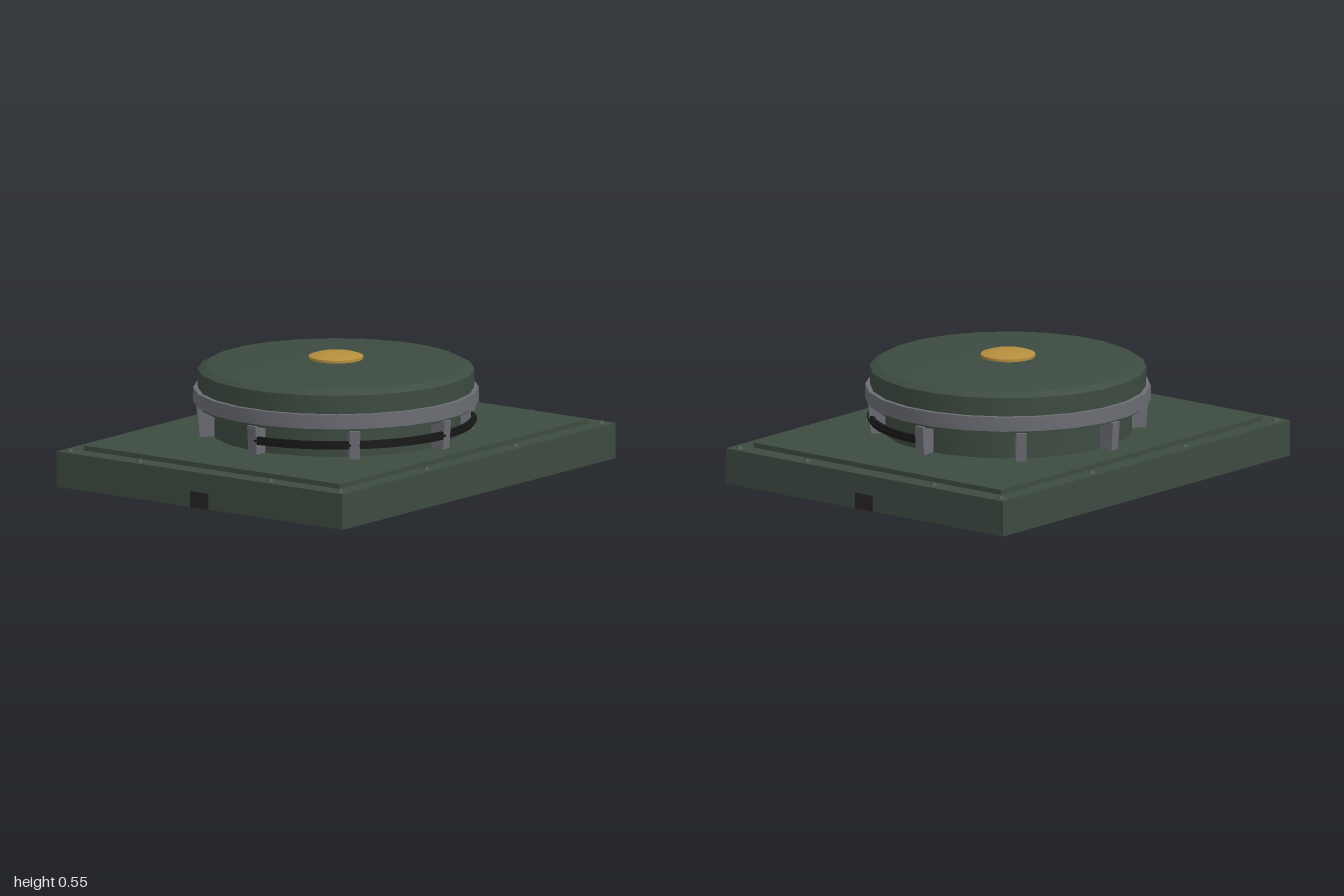
import * as THREE from 'three';
import { toCreasedNormals } from 'three/addons/utils/BufferGeometryUtils.js';

const SIDES = 24;

export function createModel() {
  const model = new THREE.Group();
  model.name = 'roundMachineOnPlinth';

  const material = (name, color, side = THREE.FrontSide) => {
    const m = new THREE.MeshStandardMaterial({ color, side });
    m.name = name;
    return m;
  };
  const green = material('dark green paint', 0x3d4b41, THREE.DoubleSide);
  const grey = material('steel grey', 0x6b6d74);
  const gold = material('brass', 0xb58e3e);
  const black = material('black rail', 0x171717, THREE.DoubleSide);
  const dark = material('dark slot', 0x262424);

  const add = (name, geometry, mat, x = 0, y = 0, z = 0, parent = model) => {
    const mesh = new THREE.Mesh(geometry, mat);
    mesh.name = name;
    mesh.position.set(x, y, z);
    parent.add(mesh);
    return mesh;
  };
  // Turned part from [radius, height] pairs, with flats facing the four sides
  const turned = (profile, start = Math.PI / SIDES, length = Math.PI * 2, segments = SIDES) =>
    toCreasedNormals(new THREE.LatheGeometry(
      profile.map(([r, y]) => new THREE.Vector2(r, y)), segments, start, length), 0.4);

  // Hollow plinth, open underneath (bottom face group dropped)
  const shell = new THREE.BoxGeometry(2, 0.16, 1.588);
  const kept = [...shell.index.array].filter((_, i) => i < 18 || i >= 24);
  shell.setIndex(kept);
  shell.clearGroups();
  add('plinth', shell, green, 0, 0.08, 0);

  // Raised deck on the plinth: top and four walls
  const deck = new THREE.BoxGeometry(1.82, 0.022, 1.42);
  add('deck', deck, green, 0, 0.171, 0);

  // Slots at the foot of both side walls
  for (const side of [-1, 1]) {
    add('sideSlot', new THREE.BoxGeometry(0.006, 0.072, 0.1), dark, side * 1.0, 0.036, 0);
  }

  // Rivets around the rim
  const rivets = new THREE.Group();
  rivets.name = 'rivets';
  model.add(rivets);
  const rivet = new THREE.CylinderGeometry(0.008, 0.022, 0.013, 8);
  for (const sx of [-1, 1]) {
    for (const sz of [-1, 1]) {
      for (const [x, z] of [[0.955, 0.75], [0.325, 0.75], [0.955, 0.363]]) {
        add('rivet', rivet, green, sx * x, 0.1655, sz * z, rivets);
      }
    }
  }

  // Drum, domed lid, steel band and brass knob
  add('drum', turned([[0.55, 0.18], [0.55, 0.315]]), green);
  add('lid', turned([[0, 0.306], [0.61, 0.306], [0.613, 0.47], [0.575, 0.49],
    [0.4, 0.505], [0.2, 0.515], [0, 0.517]]), green);
  add('steelBand', turned([[0.6, 0.322], [0.632, 0.322], [0.632, 0.387], [0.6, 0.387]]), grey);
  add('brassKnob', turned([[0.121, 0.51], [0.121, 0.528], [0.09, 0.538],
    [0.05, 0.544], [0, 0.545]]), gold);

  // Eight posts, leaning outward slightly at the top
  const post = new THREE.BoxGeometry(0.046, 0.128, 0.075);
  const p = post.attributes.position;
  for (let i = 0; i < p.count; i++) {
    if (p.getY(i) < 0 && p.getZ(i) > 0) p.setZ(i, p.getZ(i) - 0.01);
  }
  post.computeVertexNormals();
  for (let i = 0; i < 8; i++) {
    const a = (i * Math.PI) / 4;
    add('post', post, grey, Math.sin(a) * 0.584, 0.245, Math.cos(a) * 0.584).rotation.y = a;
  }

  // Four curved rails between the front posts, each with a thin centre ridge
  const arc = (name, profile, middle, span) => {
    add(name, turned([...profile, profile[0]], middle - span / 2, span, 6), black);
  };
  for (let i = -2; i < 2; i++) {
    const middle = (i + 0.5) * Math.PI / 4;
    arc('rail', [[0.6, 0.228], [0.616, 0.228], [0.616, 0.263], [0.6, 0.263]], middle, 0.7);
    arc('railRidge', [[0.608, 0.241], [0.624, 0.241], [0.624, 0.25], [0.608, 0.25]], middle, 0.725);
  }

  return model;
}
